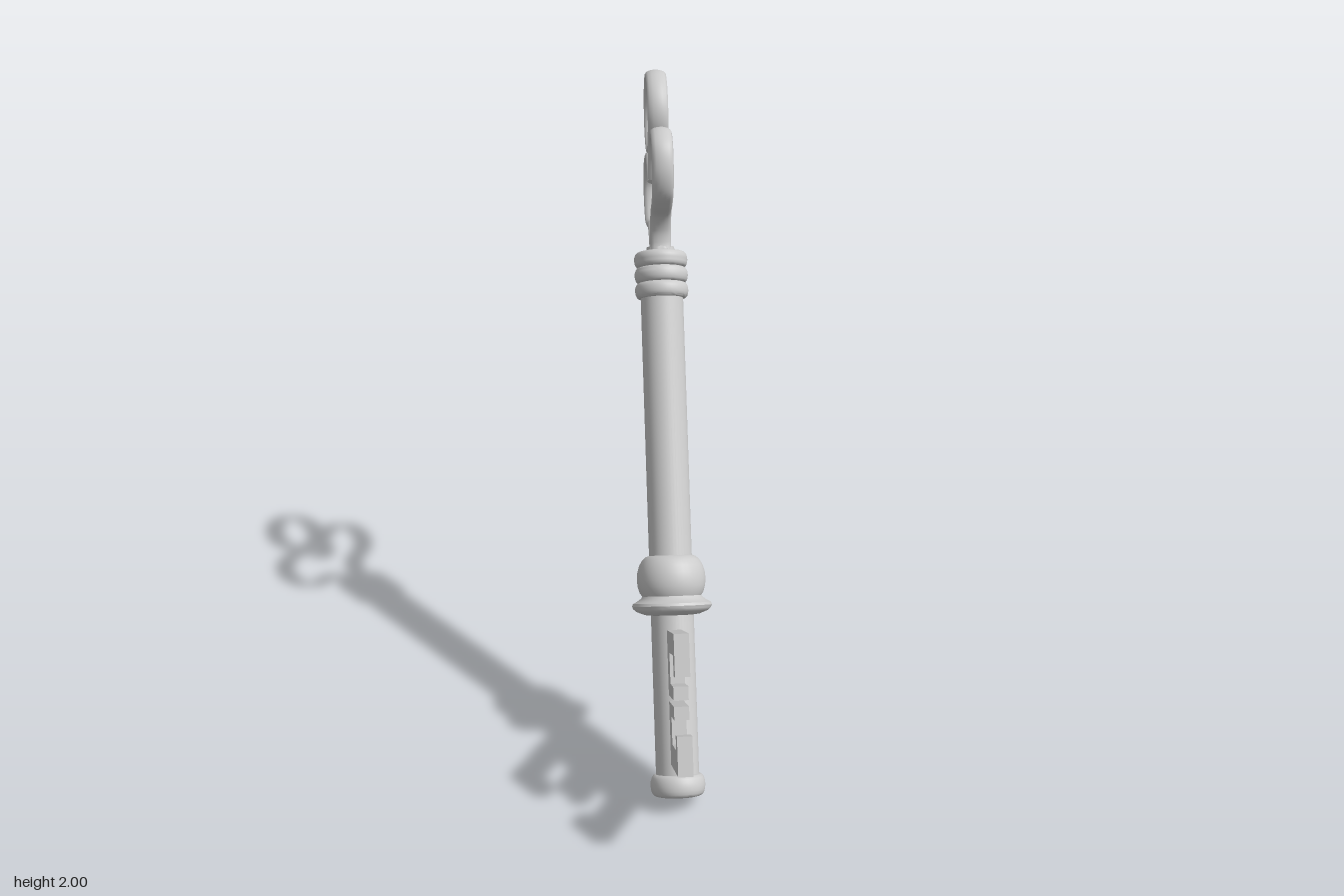
import * as THREE from 'three';
import { toCreasedNormals } from 'three/addons/utils/BufferGeometryUtils.js';

const material = new THREE.MeshStandardMaterial({ color: 0xcccccc });

function add(parent, name, geometry) {
  const mesh = new THREE.Mesh(geometry, material);
  mesh.name = name;
  parent.add(mesh);
  return mesh;
}

// Turned part from [radius, height] pairs, listed bottom to top
function turned(parent, name, profile) {
  const points = profile.map(([r, y]) => new THREE.Vector2(r, y));
  return add(parent, name, toCreasedNormals(new THREE.LatheGeometry(points, 40), 0.7));
}

// Half-round bead profile between two heights
function bead(y0, y1, inner, outer, steps = 8) {
  const list = [];
  for (let i = 0; i <= steps; i++) {
    const a = Math.PI * (i / steps - 0.5);
    list.push([inner + (outer - inner) * Math.cos(a), (y0 + y1) / 2 + ((y1 - y0) / 2) * Math.sin(a)]);
  }
  return list;
}

export function createModel() {
  const model = new THREE.Group();
  model.name = 'key';

  // The key is built upright along y, then leaned back
  const key = new THREE.Group();
  key.name = 'leaningKey';
  key.position.set(0, 0.032, 0.46);
  key.rotation.x = -Math.PI / 6;
  model.add(key);

  turned(key, 'shaft', [[0, 0.03], [0.066, 0.03], [0.066, 1.56], [0, 1.56]]);
  turned(key, 'endCap', [[0, 0], [0.06, 0], ...bead(0.002, 0.068, 0.068, 0.084), [0, 0.068]]);

  // Flared flange below a rounded knob
  turned(key, 'flange', [
    [0.06, 0.55], [0.085, 0.553], [0.11, 0.563], [0.12, 0.572], [0.123, 0.58],
    [0.12, 0.588], [0.108, 0.594], [0.094, 0.604], [0.088, 0.615], [0.06, 0.615],
  ]);
  turned(key, 'knob', [
    [0.088, 0.605], [0.098, 0.62], [0.104, 0.64], [0.106, 0.66], [0.104, 0.682],
    [0.098, 0.703], [0.088, 0.72], [0.077, 0.73], [0.064, 0.734],
  ]);

  // Collar of three beads with a small boss on top
  const collar = [[0.05, 1.53]];
  for (let i = 0; i < 3; i++) collar.push(...bead(1.53 + i * 0.048, 1.578 + i * 0.048, 0.07, 0.083));
  collar.push([0.045, 1.674], [0.043, 1.69], [0, 1.692]);
  turned(key, 'collar', collar);

  // Bow: round wire in the yz plane, widened across x
  const bow = new THREE.Group();
  bow.name = 'bow';
  bow.scale.x = 2.05;
  key.add(bow);
  const wire = 0.0158;

  const ring = add(bow, 'topRing', new THREE.TorusGeometry(0.117, wire, 14, 56));
  ring.rotation.y = Math.PI / 2;
  ring.position.y = 2.116;

  const lobe = [
    [1.67, 0.027], [1.70, 0.029], [1.74, 0.046], [1.78, 0.092], [1.796, 0.17], [1.819, 0.228],
    [1.874, 0.267], [1.945, 0.272], [1.996, 0.229], [2.011, 0.16], [2.002, 0.093],
    [1.965, 0.053], [1.903, 0.017],
  ];
  for (const side of [1, -1]) {
    const path = new THREE.CatmullRomCurve3(lobe.map(([y, z]) => new THREE.Vector3(0, y, side * z)));
    add(bow, side > 0 ? 'frontLobe' : 'backLobe', new THREE.TubeGeometry(path, 90, wire, 14));
    // Flat end of the inner tip
    const cap = add(bow, 'lobeTip', new THREE.CircleGeometry(wire, 14));
    cap.position.copy(path.getPoint(1));
    cap.lookAt(path.getPoint(1).add(path.getTangent(1)));
  }

  // Bit: two hooked plates facing each other, [distance from axis, height]
  const plates = {
    lowerBit: [
      [0.04, 0.102], [0.403, 0.102], [0.403, 0.216], [0.342, 0.216], [0.342, 0.172],
      [0.165, 0.172], [0.165, 0.254], [0.304, 0.254], [0.304, 0.293], [0.04, 0.293],
    ],
    upperBit: [
      [0.04, 0.311], [0.301, 0.311], [0.301, 0.351], [0.165, 0.351], [0.165, 0.443],
      [0.338, 0.443], [0.338, 0.384], [0.403, 0.384], [0.403, 0.507], [0.04, 0.507],
    ],
  };
  const thickness = 0.044;
  for (const [name, outline] of Object.entries(plates)) {
    const shape = new THREE.Shape(outline.map(([t, s]) => new THREE.Vector2(t, s)));
    const geometry = new THREE.ExtrudeGeometry(shape, { depth: thickness, bevelEnabled: false });
    geometry.translate(0, 0, -thickness / 2);
    geometry.rotateY(-Math.PI / 2);
    add(key, name, geometry);
  }

  return model;
}
